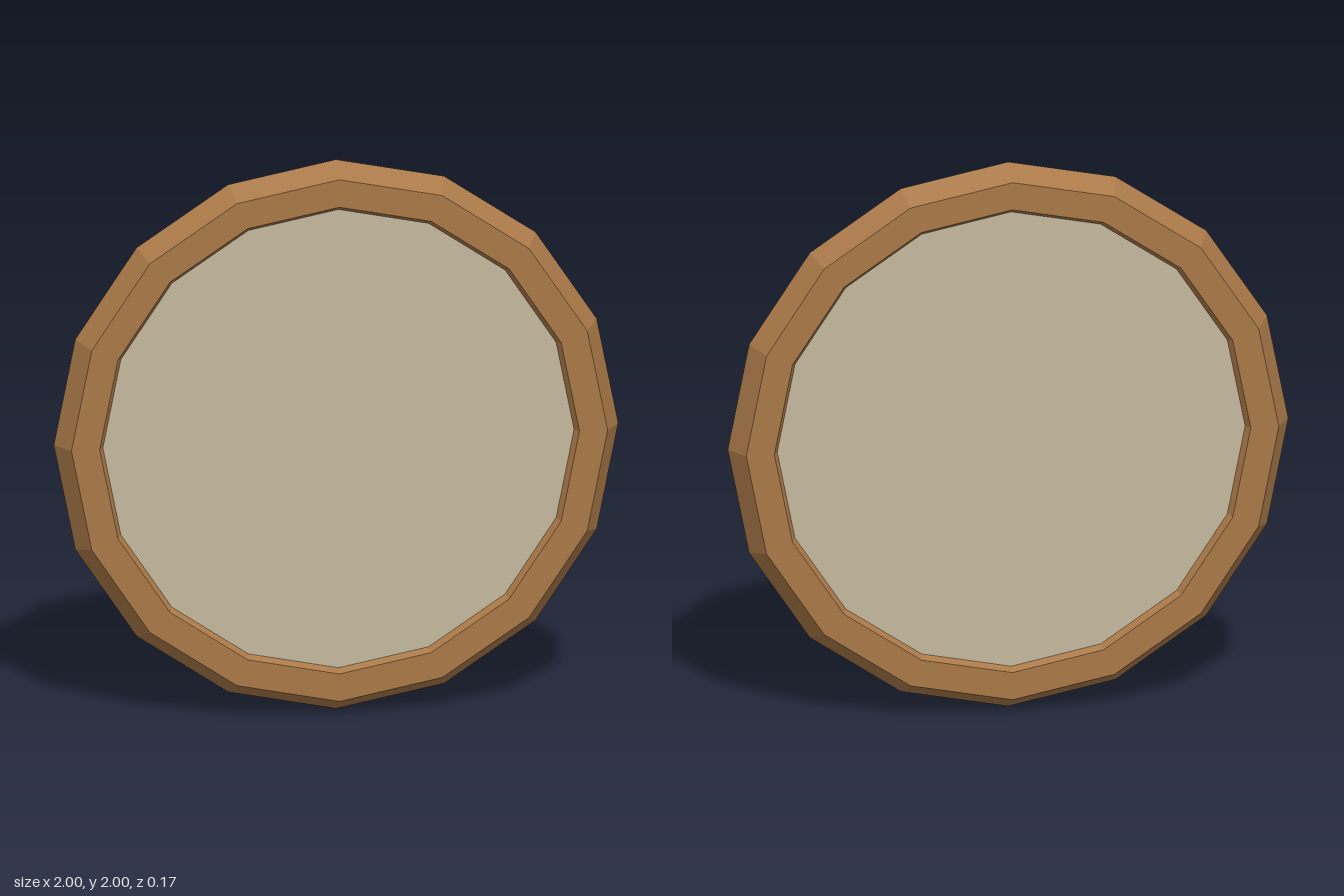
import * as THREE from 'three';

export function createModel() {
  const group = new THREE.Group();
  const wood = new THREE.MeshStandardMaterial({ color: 0xa97847, flatShading: true });
  wood.name = 'wood';
  const panelColour = new THREE.MeshStandardMaterial({ color: 0xc4b89e, flatShading: true });
  panelColour.name = 'pale beige';

  const sides = 16, ringRadius = 0.9, tubeRadius = 0.1;

  // Sixteen-sided rim with a hexagonal cross-section
  const rim = new THREE.Mesh(new THREE.TorusGeometry(ringRadius, tubeRadius, 6, sides), wood);
  rim.name = 'rim';

  // Flat panel recessed slightly behind the rim on both faces
  const panelGeometry = new THREE.CylinderGeometry(0.86, 0.86, 0.12, sides);
  panelGeometry.rotateX(Math.PI / 2);
  const panel = new THREE.Mesh(panelGeometry, panelColour);
  panel.name = 'panel';

  for (const part of [rim, panel]) {
    part.position.y = 1;
    group.add(part);
  }
  return group;
}
